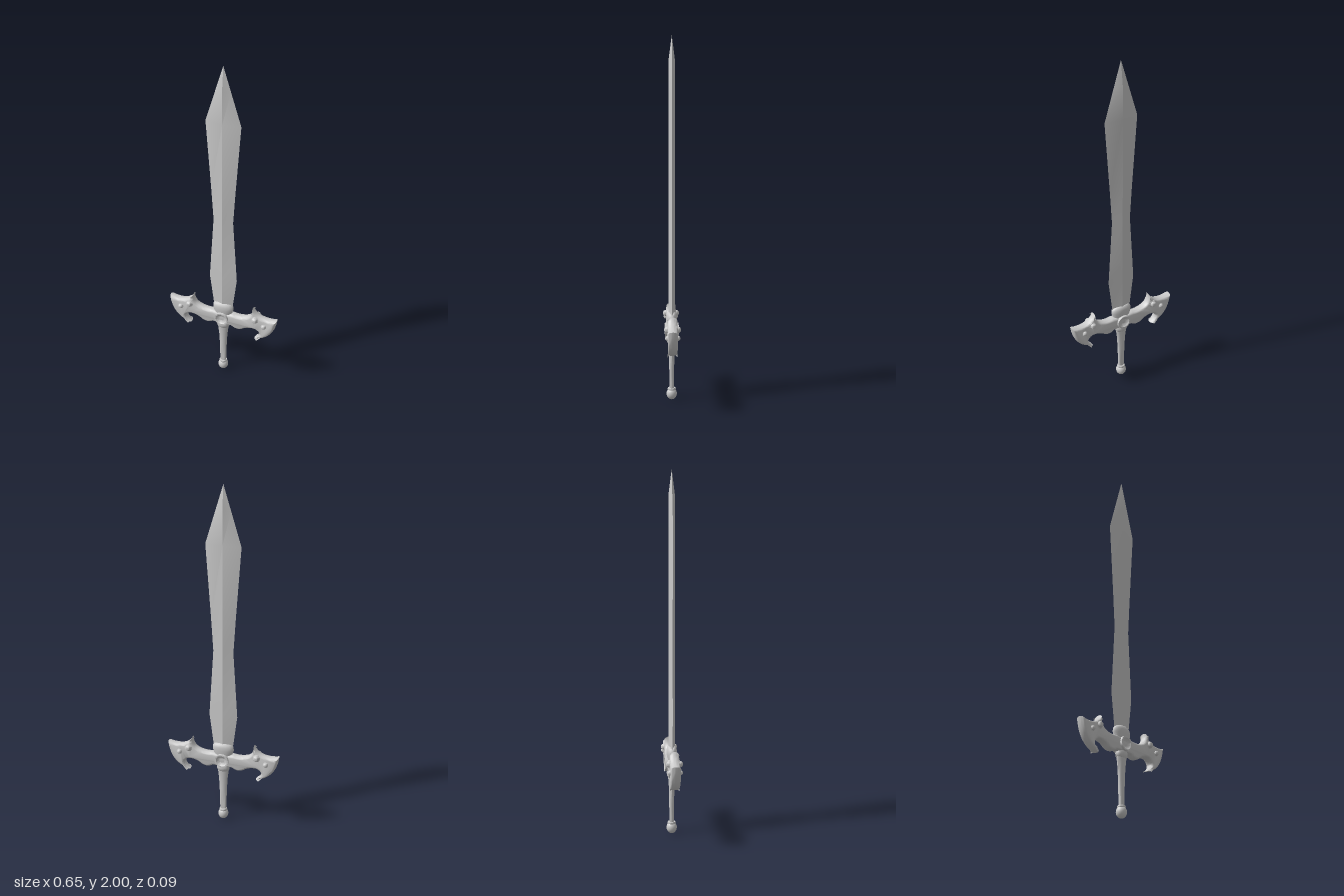
import * as THREE from 'three';
import { toCreasedNormals } from 'three/addons/utils/BufferGeometryUtils.js';

const material = new THREE.MeshStandardMaterial({ color: 0xcccccc });

function addMesh(parent, name, geometry) {
  const mesh = new THREE.Mesh(geometry, material);
  mesh.name = name;
  parent.add(mesh);
  return mesh;
}

// Skin elliptical cross-sections [y, halfWidth, halfDepth] with n sides
function loft(sections, n, crease) {
  const pos = [], index = [];
  for (const [y, hx, hz] of sections) {
    for (let i = 0; i < n; i++) {
      const a = (i / n) * Math.PI * 2;
      pos.push(hx * Math.cos(a), y, hz * Math.sin(a));
    }
  }
  for (let s = 0; s < sections.length - 1; s++) {
    for (let i = 0; i < n; i++) {
      const a = s * n + i, b = s * n + (i + 1) % n;
      index.push(a, a + n, b, b, a + n, b + n);
    }
  }
  const g = new THREE.BufferGeometry();
  g.setAttribute('position', new THREE.Float32BufferAttribute(pos, 3));
  g.setIndex(index);
  return toCreasedNormals(g, crease);
}

function lathe(profile, segments = 24) {
  const pts = profile.map(([r, y]) => new THREE.Vector2(r, y));
  return toCreasedNormals(new THREE.LatheGeometry(pts, segments), 0.6);
}

// Winged guard: one half traced clockwise, then mirrored
function guardGeometry() {
  const half = new THREE.Shape();
  half.moveTo(0, 0.425);
  half.lineTo(0.06, 0.433);
  half.quadraticCurveTo(0.10, 0.425, 0.135, 0.437);
  half.quadraticCurveTo(0.18, 0.45, 0.180, 0.507);   // upper spike
  half.quadraticCurveTo(0.215, 0.435, 0.326, 0.460); // outer tip
  half.quadraticCurveTo(0.312, 0.320, 0.194, 0.300); // lower hook
  half.quadraticCurveTo(0.228, 0.325, 0.226, 0.345);
  half.quadraticCurveTo(0.215, 0.372, 0.185, 0.370);
  half.quadraticCurveTo(0.150, 0.368, 0.125, 0.348);
  half.quadraticCurveTo(0.090, 0.327, 0.055, 0.352);
  half.lineTo(0, 0.352);
  const right = half.getPoints(8);
  const left = right.slice(1, -1).reverse().map(p => new THREE.Vector2(-p.x, p.y));
  const g = new THREE.ExtrudeGeometry(new THREE.Shape([...right, ...left]), {
    depth: 0.004, bevelThickness: 0.024, bevelSize: 0.014,
    bevelOffset: -0.014, bevelSegments: 4,
  });
  g.translate(0, 0, -0.002);
  return toCreasedNormals(g, 0.7);
}

// Domed rivet on a flat washer, axis along y
function rivetGeometry(r, top) {
  const profile = [[r, 0.015], [r, top - r * 0.9], [r * 0.85, top - r * 0.8]];
  for (let i = 0; i <= 6; i++) {
    const a = (i / 6) * Math.PI / 2;
    profile.push([r * 0.78 * Math.cos(a), top - r * 0.78 * (1 - Math.sin(a))]);
  }
  return lathe(profile, 20);
}

export function createModel() {
  const sword = new THREE.Group();
  sword.name = 'sword';

  // Diamond-section leaf blade
  addMesh(sword, 'blade', loft([
    [0.44, 0, 0], [0.44, 0.05, 0.018], [0.48, 0.057, 0.018], [0.67, 0.081, 0.018],
    [0.80, 0.073, 0.018], [1.06, 0.057, 0.018], [1.25, 0.069, 0.018],
    [1.67, 0.099, 0.018], [1.86, 0.042, 0.018], [2.0, 0, 0],
  ], 4, 0.4));

  // Rounded collar gripping the blade root
  addMesh(sword, 'bladeCollar', loft([
    [0.41, 0, 0], [0.41, 0.05, 0.024], [0.435, 0.055, 0.026], [0.455, 0.062, 0.029],
    [0.475, 0.061, 0.028], [0.49, 0.05, 0.024], [0.497, 0.03, 0.017], [0.497, 0, 0],
  ], 16, 0.8));

  addMesh(sword, 'guard', guardGeometry());

  // Dished round boss through the centre of the guard
  const boss = addMesh(sword, 'centreBoss', lathe([
    [0, -0.024], [0.014, -0.026], [0.028, -0.033], [0.032, -0.038], [0.040, -0.038],
    [0.040, 0.038], [0.032, 0.038], [0.028, 0.033], [0.014, 0.026], [0, 0.024],
  ], 32));
  boss.rotation.x = Math.PI / 2;
  boss.position.y = 0.396;

  // Two rivets per wing on both faces
  for (const side of [1, -1]) {
    for (const face of [1, -1]) {
      for (const [name, x, y, r, top] of [
        ['largeRivet', 0.2, 0.444, 0.022, 0.046],
        ['smallRivet', 0.254, 0.411, 0.017, 0.041],
      ]) {
        const rivet = addMesh(sword, name, rivetGeometry(r, top));
        rivet.rotation.x = face * Math.PI / 2;
        rivet.position.set(side * x, y, 0);
      }
    }
  }

  // Ring where the grip meets the guard
  addMesh(sword, 'gripRing', loft([
    [0.322, 0, 0], [0.322, 0.03, 0.021], [0.33, 0.036, 0.026],
    [0.345, 0.038, 0.028], [0.36, 0.034, 0.025], [0.365, 0, 0],
  ], 20, 0.8));

  // Grip narrowing towards the pommel
  addMesh(sword, 'grip', loft([
    [0.05, 0.018, 0.013], [0.1, 0.019, 0.013], [0.2, 0.022, 0.014],
    [0.27, 0.026, 0.016], [0.31, 0.031, 0.019], [0.35, 0.036, 0.022],
  ], 12, 0.8));

  // Ball pommel with a small neck
  const pommel = addMesh(sword, 'pommel', new THREE.SphereGeometry(0.029, 24, 16));
  pommel.position.y = 0.035;
  pommel.scale.y = 35 / 29 * 0.95;
  pommel.position.y = 0.0333;
  addMesh(sword, 'pommelNeck', lathe([
    [0, 0.054], [0.021, 0.054], [0.023, 0.06], [0.021, 0.067], [0, 0.069],
  ]));

  return sword;
}
